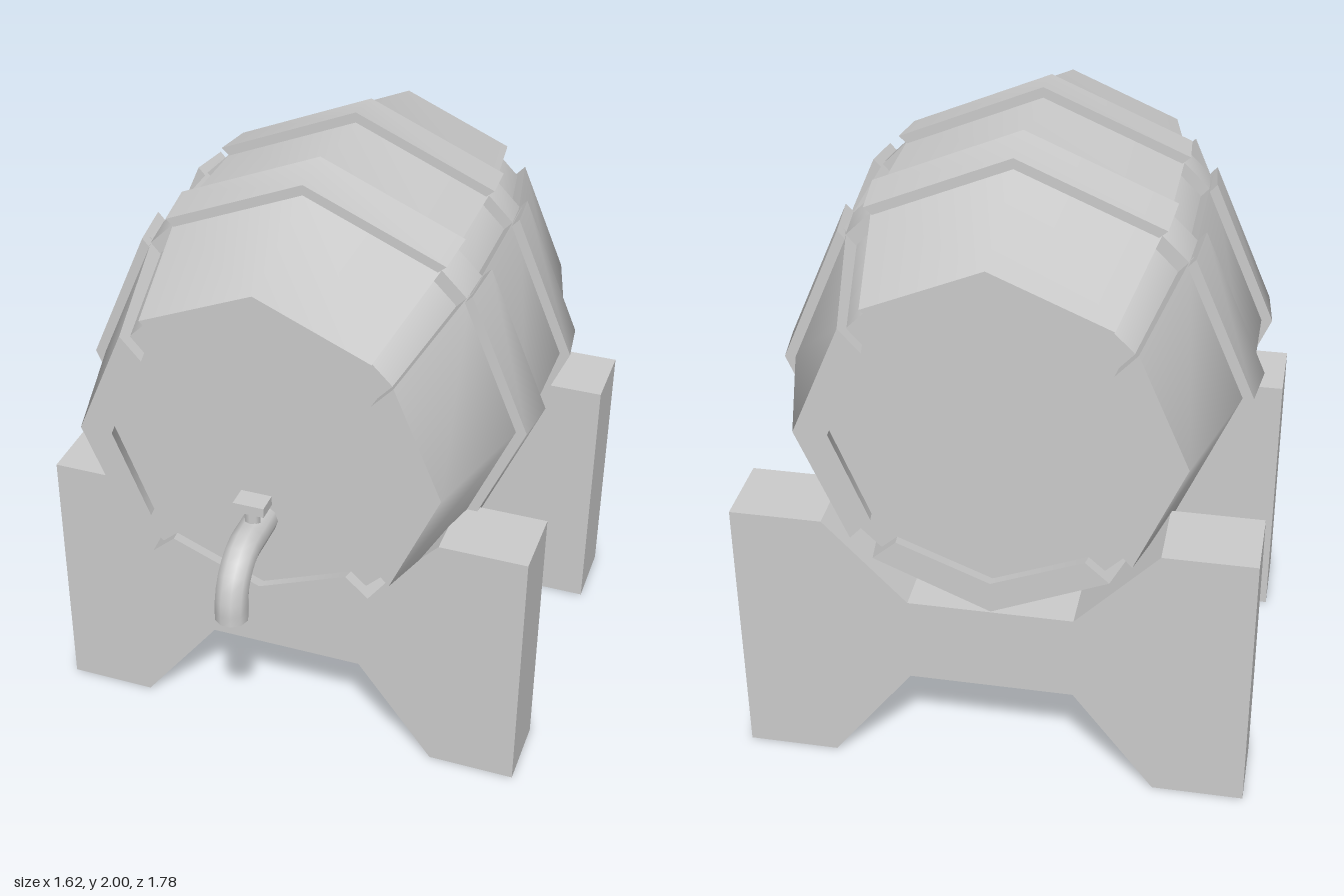
import * as THREE from 'three';
import { toCreasedNormals } from 'three/addons/utils/BufferGeometryUtils.js';

const material = new THREE.MeshStandardMaterial({ color: 0xcccccc });

function add(parent, geometry, name, x = 0, y = 0, z = 0) {
  const mesh = new THREE.Mesh(geometry, material);
  mesh.name = name;
  mesh.position.set(x, y, z);
  parent.add(mesh);
  return mesh;
}

const polygon = (points) => new THREE.Shape(points.map(([x, y]) => new THREE.Vector2(x, y)));

// Solid between a front section (zA, radius rA) and a back section (zB, rB)
function taper(shape, zA, rA, zB, rB) {
  const geometry = new THREE.ExtrudeGeometry(shape, { depth: 1, bevelEnabled: false });
  const p = geometry.attributes.position;
  for (let i = 0; i < p.count; i++) {
    const t = p.getZ(i);
    const r = THREE.MathUtils.lerp(rB, rA, t);
    p.setXYZ(i, p.getX(i) * r, p.getY(i) * r, THREE.MathUtils.lerp(zB, zA, t));
  }
  return toCreasedNormals(geometry, 0.85);
}

// Unit cross-sections: one bent stave, and the whole barrel with cut corners
const CX = 0.62, CY = 0.735, INNER = 0.82;
const staveShape = polygon([
  [CX, CY], [0, 1], [-CX, CY],
  [-CX * 0.97 * INNER, CY * 1.03 * INNER], [0, INNER], [CX * 0.97 * INNER, CY * 1.03 * INNER],
]);
const ringPoints = [];
for (let i = 0; i < 4; i++) {
  const c = Math.round(Math.cos(i * Math.PI / 2)), s = Math.round(Math.sin(i * Math.PI / 2));
  for (const [x, y] of [[CX, CY], [0, 1], [-CX, CY]]) ringPoints.push([x * c - y * s, x * s + y * c]);
}
const coreShape = polygon(ringPoints);

function createBarrel() {
  const barrel = new THREE.Group();
  barrel.name = 'barrel';
  barrel.position.set(-0.008, 1.245, 0);

  // Four staves around the axis for each length of the barrel
  const lengths = [
    ['frontStave', 0.61, 0.585, 0.15, 0.71],
    ['frontHoop', 0.185, 0.735, 0.025, 0.755],
    ['middleStave', 0.15, 0.72, -0.435, 0.72],
    ['backHoop', -0.31, 0.755, -0.47, 0.735],
    ['backStave', -0.435, 0.71, -0.89, 0.585],
  ];
  for (const [name, ...size] of lengths) {
    const geometry = taper(staveShape, ...size);
    for (let i = 0; i < 4; i++) add(barrel, geometry, name).rotation.z = i * Math.PI / 2;
  }

  // Recessed core: shows in the grooves and as the two barrel heads
  const cores = [
    ['frontHead', 0.57, 0.56, 0.1, 0.675],
    ['frontHoopCore', 0.17, 0.705, 0.04, 0.72],
    ['middleCore', 0.1, 0.68, -0.385, 0.68],
    ['backHoopCore', -0.325, 0.72, -0.455, 0.705],
    ['backHead', -0.385, 0.675, -0.85, 0.56],
  ];
  for (const [name, ...size] of cores) add(barrel, taper(coreShape, ...size), name);
  return barrel;
}

function createTap() {
  const tap = new THREE.Group();
  tap.name = 'tap';
  tap.position.x = -0.008;

  // Spout bending down
  const path = new THREE.CatmullRomCurve3([
    [0.55, 1.01], [0.65, 1.01], [0.74, 1.005], [0.81, 0.95], [0.835, 0.88], [0.837, 0.82],
  ].map(([z, y]) => new THREE.Vector3(0, y, z)));
  add(tap, new THREE.TubeGeometry(path, 12, 0.053, 10, false), 'spout');
  add(tap, new THREE.CircleGeometry(0.053, 10), 'spoutEnd', 0, 0.822, 0.837).rotation.x = Math.PI / 2;

  // Valve
  add(tap, new THREE.CylinderGeometry(0.026, 0.026, 0.1, 8), 'valveStem', 0, 1.07, 0.648);
  add(tap, new THREE.BoxGeometry(0.1, 0.033, 0.07), 'valveHandle', 0, 1.118, 0.647);
  return tap;
}

export function createModel() {
  const model = new THREE.Group();
  model.name = 'barrelOnStand';
  model.add(createBarrel(), createTap());

  // Cradle frames, mirrored half outline
  const half = [[0.26, 0.345], [0.52, 0], [0.81, 0], [0.81, 0.91], [0.52, 0.91], [0.26, 0.635]];
  const outline = [...half, ...half.map(([x, y]) => [-x, y]).reverse()];
  const frame = new THREE.ExtrudeGeometry(polygon(outline), { depth: 0.245, bevelEnabled: false });
  // Slight forward lean of the back faces
  add(model, frame, 'frontFrame', 0, 0, 0.16);
  add(model, frame, 'backFrame', 0, 0, -0.863);
  return model;
}
